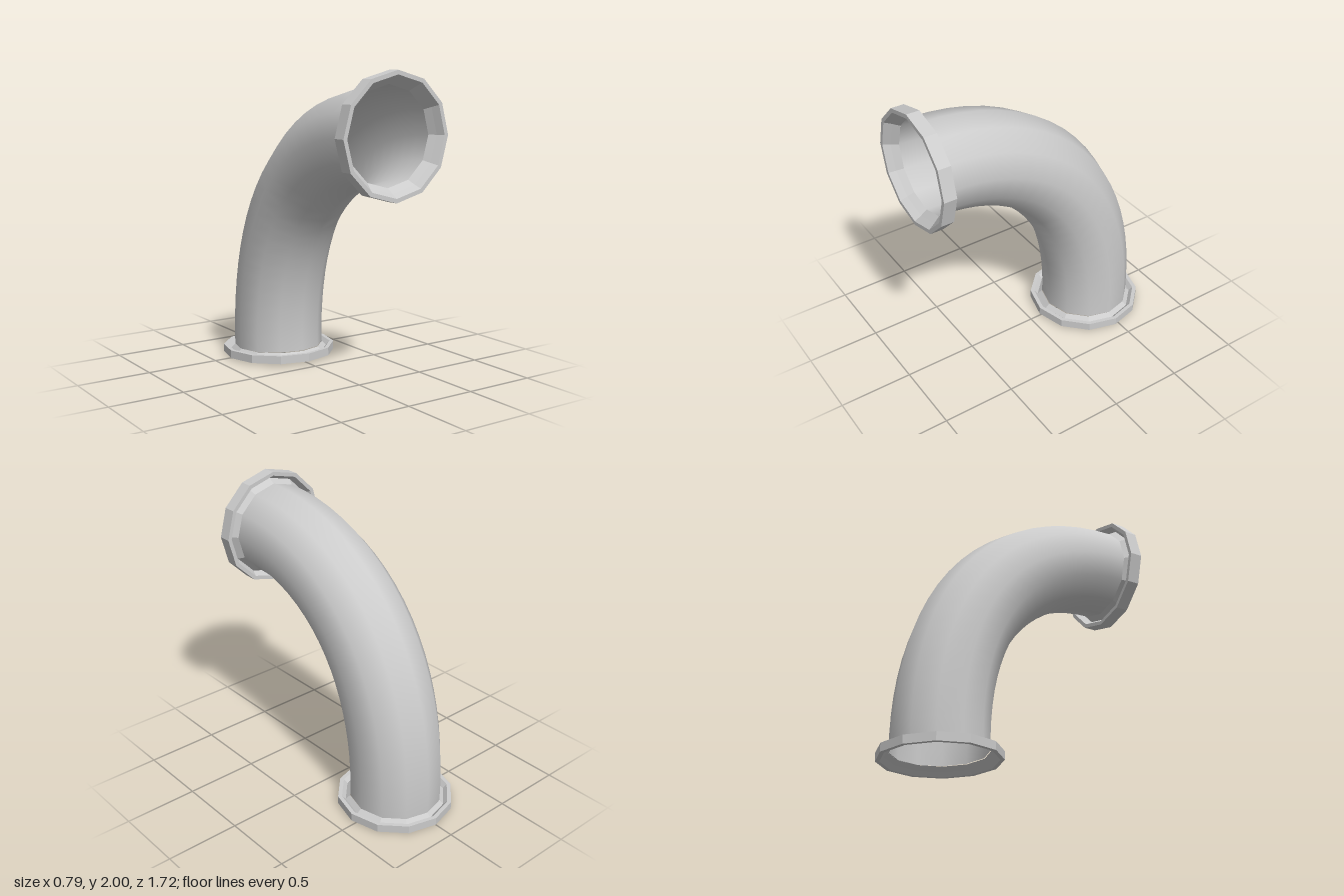
import * as THREE from 'three';

const SIDES = 12;
const PIPE_R = 0.31;

// Ring with a bevelled bore; the pipe mouth flares out to meet it.
// Local y = 0 is the pipe side, y = h the open face.
function createFlange(name, h, material) {
  const profile = [
    [PIPE_R, 0], [0.34, h / 2], [0.366, 0], [0.393, 0],
    [0.393, h], [0.366, h], [0.34, h / 2],
  ].map(([r, y]) => new THREE.Vector2(r, y));
  const flange = new THREE.Mesh(new THREE.LatheGeometry(profile, SIDES), material);
  flange.name = name;
  return flange;
}

export function createModel() {
  const group = new THREE.Group();
  group.name = 'pipeElbow';

  const smooth = new THREE.MeshStandardMaterial({ color: 0xcccccc, side: THREE.DoubleSide });
  const faceted = new THREE.MeshStandardMaterial({
    color: 0xcccccc, side: THREE.DoubleSide, flatShading: true,
  });

  // Bent pipe, open at both ends
  const path = new THREE.CubicBezierCurve3(
    new THREE.Vector3(0, 1.607, 0.775),
    new THREE.Vector3(0, 1.607, 0.08),
    new THREE.Vector3(0, 1.09, -0.505),
    new THREE.Vector3(0, 0.063, -0.473),
  );
  const pipe = new THREE.Mesh(new THREE.TubeGeometry(path, 20, PIPE_R, SIDES, false), smooth);
  pipe.name = 'bentPipe';
  group.add(pipe);

  // Front flange, facing +z
  const front = createFlange('frontFlange', 0.087, faceted);
  front.position.set(0, 1.607, 0.775);
  front.rotation.x = Math.PI / 2;
  group.add(front);

  // Base flange, facing down with a slight tilt
  const base = createFlange('baseFlange', 0.055, faceted);
  base.position.set(0, 0.063, -0.47);
  base.rotation.x = Math.PI - 0.02;
  group.add(base);

  return group;
}
